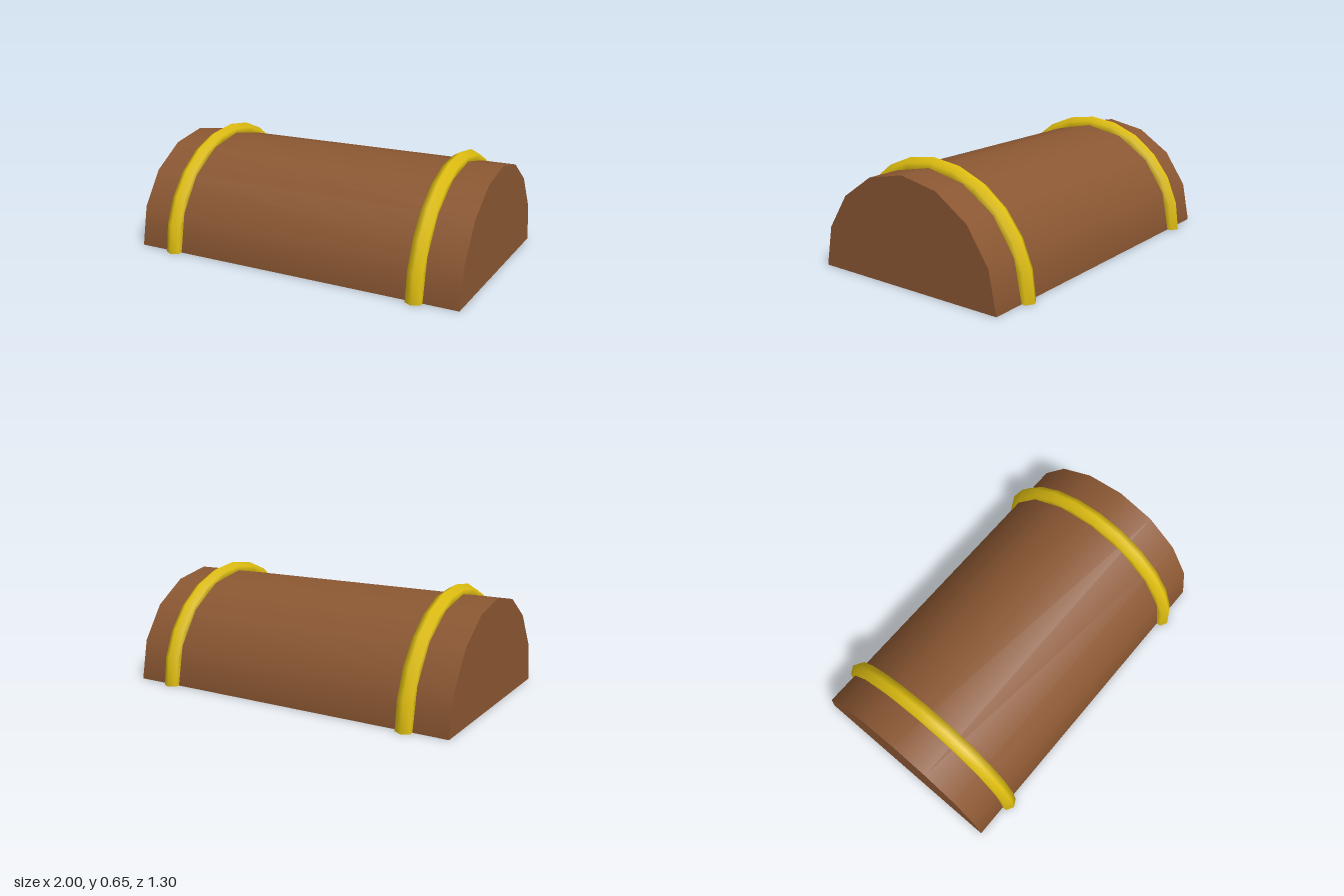
import * as THREE from 'three';

export function createModel() {
  const model = new THREE.Group();
  model.name = 'chestLid';

  // The underside is open, so the insides show
  const wood = new THREE.MeshStandardMaterial({ color: 0x8b5732, side: THREE.DoubleSide });
  wood.name = 'brown wood';
  const gold = new THREE.MeshStandardMaterial({ color: 0xdfbe10, side: THREE.DoubleSide });
  gold.name = 'gold metal';

  const radius = 0.6;

  // Half-round lid with closed ends and an open bottom
  const lidGeometry = new THREE.CylinderGeometry(radius, radius, 2, 8, 1, false, 0, Math.PI);
  lidGeometry.rotateZ(Math.PI / 2);
  const lid = new THREE.Mesh(lidGeometry, wood);
  lid.name = 'lid';
  model.add(lid);

  // Hexagonal half-ring bands near both ends
  const bandGeometry = new THREE.TorusGeometry(radius, 0.05, 6, 12, Math.PI);
  bandGeometry.rotateY(Math.PI / 2);
  for (const [name, side] of [['leftBand', 1], ['rightBand', -1]]) {
    const band = new THREE.Mesh(bandGeometry, gold);
    band.name = name;
    band.position.x = side * 0.76;
    model.add(band);
  }

  return model;
}
